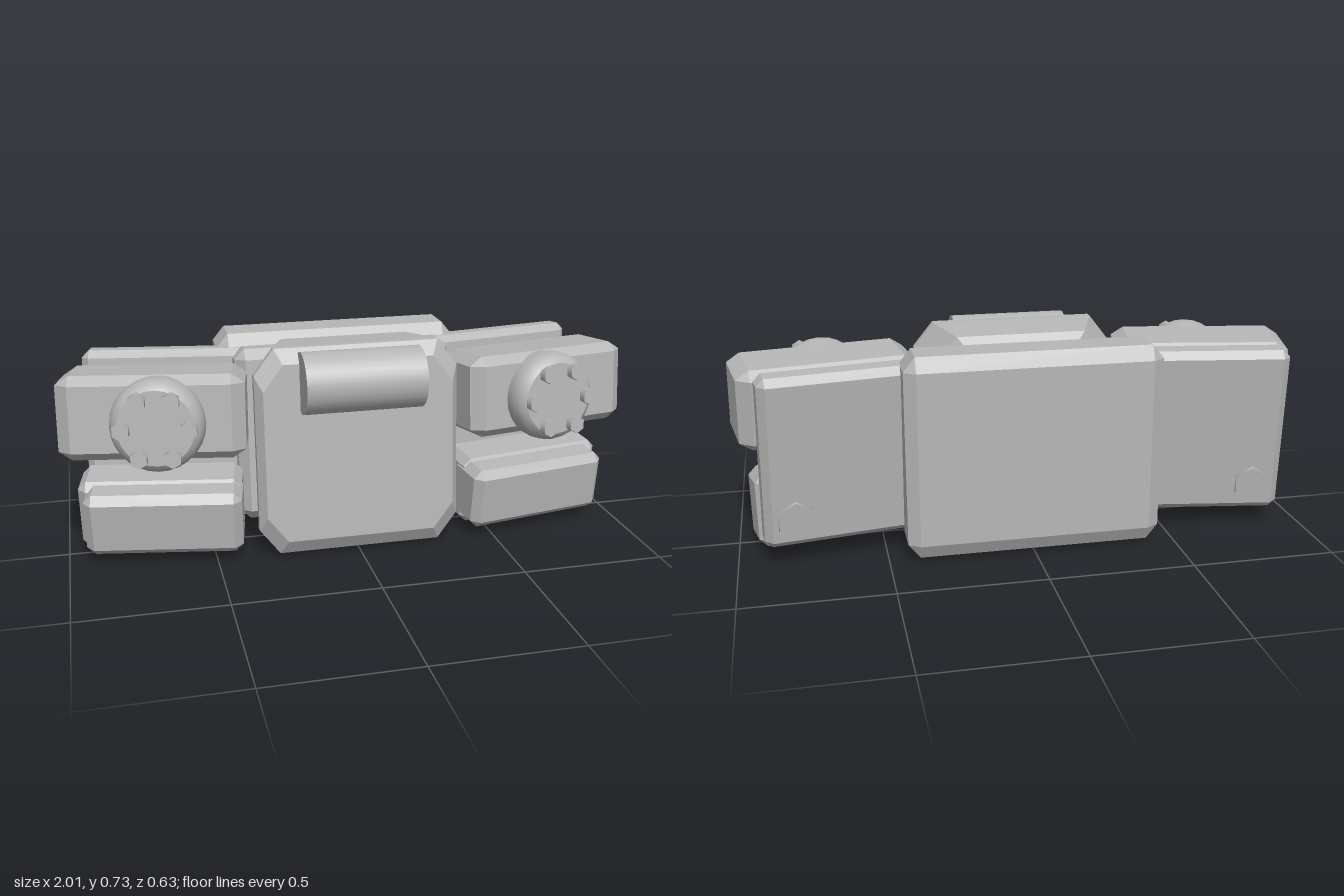
import * as THREE from 'three';
import { ConvexGeometry } from 'three/addons/geometries/ConvexGeometry.js';

const grey = new THREE.MeshStandardMaterial({ color: 0xb6b6b6 });
grey.name = 'plain grey';

const V = (x, y, z) => new THREE.Vector3(x, y, z);

// Box with all edges cut; bx, by, bz are the cut sizes along each axis
function chamferBox(w, h, d, bx, by = bx, bz = bx) {
  const X = w / 2, Y = h / 2, Z = d / 2, pts = [];
  for (const i of [-1, 1]) for (const j of [-1, 1]) for (const k of [-1, 1]) {
    pts.push(V(i * X, j * (Y - by), k * (Z - bz)));
    pts.push(V(i * (X - bx), j * Y, k * (Z - bz)));
    pts.push(V(i * (X - bx), j * (Y - by), k * Z));
  }
  return new ConvexGeometry(pts);
}

// Hull over octagonal sections [z, half width, half height]
function octagonHull(sections, cutX, cutY) {
  const pts = [];
  for (const [z, w, h] of sections)
    for (const i of [-1, 1]) for (const j of [-1, 1])
      pts.push(V(i * w, j * (h - cutY), z), V(i * (w - cutX), j * h, z));
  return new ConvexGeometry(pts);
}

function add(parent, name, geometry, x, y, z, tilt = 0, yaw = 0) {
  const m = new THREE.Mesh(geometry, grey);
  m.name = name;
  m.position.set(x, y, z);
  m.rotation.set(tilt, yaw, 0, 'YXZ');
  parent.add(m);
  return m;
}

// Cylinder whose axis runs along z
const disc = (r, depth, sides) => new THREE.CylinderGeometry(r, r, depth, sides).rotateX(Math.PI / 2);

// Domed knob with a ring of six hex bolts, facing +z
function knob() {
  const g = new THREE.Group();
  g.name = 'knob';
  const profile = [[0.152, -0.05], [0.157, 0], [0.153, 0.03], [0.142, 0.053], [0.125, 0.065]]
    .map(([r, y]) => new THREE.Vector2(r, y));
  add(g, 'knobRim', new THREE.LatheGeometry(profile, 28).rotateX(Math.PI / 2), 0, 0, 0);
  add(g, 'knobFace', new THREE.CircleGeometry(0.125, 28), 0, 0, 0.065);
  for (let i = 0; i < 6; i++) {
    const a = i * Math.PI / 3;
    add(g, 'knobBolt', disc(0.019, 0.03, 12), 0.108 * Math.cos(a), 0.108 * Math.sin(a), 0.07);
    add(g, 'knobBoltHead', disc(0.03, 0.028, 6), 0.108 * Math.cos(a), 0.108 * Math.sin(a), 0.09);
  }
  return g;
}

function side(s) {
  const g = new THREE.Group();
  g.name = s > 0 ? 'leftSide' : 'rightSide';
  const yaw = s * 0.18;

  // Rear wing plate
  add(g, 'wingPlate', chamferBox(0.62, 0.6, 0.105, 0.025), s * 0.6, 0.375, -0.172, -0.09, s * 0.16);
  add(g, 'wingBoltWasher', disc(0.04, 0.07, 20), s * 0.8, 0.175, -0.215, -0.09, s * 0.16);
  add(g, 'wingBoltHead', disc(0.066, 0.022, 6), s * 0.8, 0.175, -0.243, -0.09, s * 0.16);

  // Upper pod, its rear spacer and the knob on its front
  add(g, 'upperPod', chamferBox(0.62, 0.285, 0.255, 0.045, 0.03, 0.035), s * 0.68, 0.522, 0.045, -0.09, yaw);
  add(g, 'podSpacer', disc(0.08, 0.1, 28), s * 0.8, 0.53, -0.14, -0.02, yaw);
  const k = knob();
  k.position.set(s * 0.68, 0.524, 0.192);
  k.rotation.set(-0.09, yaw, 0, 'YXZ');
  g.add(k);

  // Lower pod: deep rear block with a smaller front block
  add(g, 'lowerPodRear', chamferBox(0.56, 0.255, 0.185, 0.028), s * 0.665, 0.158, -0.005, 0.1, yaw);
  add(g, 'lowerPodFront', chamferBox(0.535, 0.225, 0.18, 0.028), s * 0.665, 0.155, 0.085, 0.1, yaw);
  return g;
}

export function createModel() {
  const model = new THREE.Group();
  model.name = 'buckle';

  // Central stack, back to front
  add(model, 'backPlate', chamferBox(0.875, 0.7, 0.172, 0.04, 0.05, 0.026), 0, 0.37, -0.227);
  add(model, 'middlePlate', chamferBox(0.78, 0.62, 0.13, 0.035), 0, 0.375, -0.075, -0.09);
  add(model, 'frontBlock', octagonHull([
    [-0.12, 0.27, 0.33], [-0.1, 0.295, 0.36], [0.06, 0.355, 0.362], [0.085, 0.355, 0.36], [0.12, 0.33, 0.31],
  ], 0.07, 0.09), 0, 0.37, 0.08, -0.09);

  // Roller across the top of the front block
  add(model, 'roller', new THREE.CylinderGeometry(0.105, 0.105, 0.41, 32).rotateZ(Math.PI / 2), 0, 0.63, 0.2);

  model.add(side(1), side(-1));
  return model;
}
